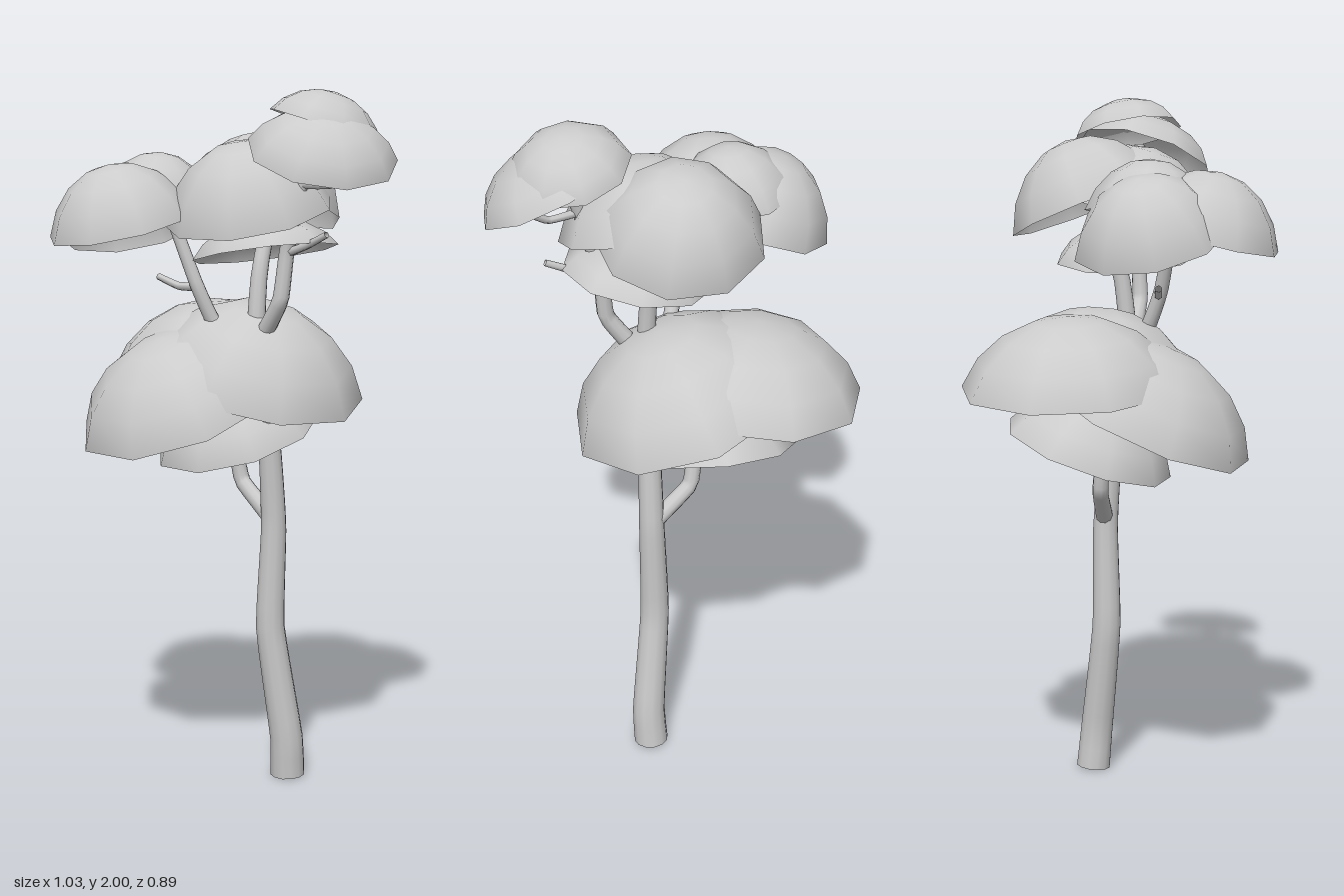
import * as THREE from 'three';

const material = new THREE.MeshStandardMaterial({ color: 0xcccccc, side: THREE.DoubleSide });
const UP = new THREE.Vector3(0, 1, 0);

// Open tapered limb that bends at a few points
function limb(name, points, r0, r1, sides = 10) {
  const curve = new THREE.CatmullRomCurve3(points.map((p) => new THREE.Vector3(...p)), false, 'catmullrom', 0.2);
  const steps = points.length * 4;
  const geo = new THREE.TubeGeometry(curve, steps, 1, sides, false);
  const pos = geo.attributes.position;
  const v = new THREE.Vector3();
  for (let i = 0; i <= steps; i++) {
    const c = curve.getPointAt(i / steps);
    const r = THREE.MathUtils.lerp(r0, r1, i / steps);
    for (let j = 0; j <= sides; j++) {
      const k = i * (sides + 1) + j;
      v.fromBufferAttribute(pos, k).sub(c).multiplyScalar(r).add(c);
      pos.setXYZ(k, v.x, v.y, v.z);
    }
  }
  const mesh = new THREE.Mesh(geo, material);
  mesh.name = name;
  return mesh;
}

// Hollow leaf dome: rim centre, rim radius, height, lean of its axis, spin
function leafDome(name, centre, radius, height, lean, spin) {
  const end = Math.PI * 0.38;
  const geo = new THREE.SphereGeometry(1, 9, 4, 0, Math.PI * 2, 0, end);
  geo.translate(0, -Math.cos(end), 0);
  geo.rotateY(spin);
  geo.scale(radius / Math.sin(end), height / (1 - Math.cos(end)), radius / Math.sin(end));
  const dome = new THREE.Mesh(geo, material);
  dome.name = name;
  dome.position.set(...centre);
  dome.quaternion.setFromUnitVectors(UP, new THREE.Vector3(...lean).normalize());
  return dome;
}

export function createModel() {
  const tree = new THREE.Group();
  tree.name = 'tree';

  // Trunk and branches
  tree.add(
    limb('trunk', [[0.09, 0, -0.165], [0.095, 0.12, -0.155], [0.067, 0.45, -0.115], [0.075, 0.75, -0.12],
      [0.077, 1.0, -0.1], [0.075, 1.3, -0.05], [0.068, 1.5, -0.07], [0.04, 1.8, -0.17]], 0.051, 0.018, 12),
    limb('lowBranch', [[0.07, 0.77, -0.12], [-0.04, 0.87, -0.1], [-0.055, 0.95, -0.09], [-0.09, 1.1, -0.07]], 0.026, 0.02),
    limb('rightBranch', [[0.08, 1.28, -0.05], [0.13, 1.34, -0.045], [0.185, 1.42, -0.045], [0.2, 1.56, -0.055],
      [0.25, 1.73, -0.06], [0.29, 1.86, -0.08]], 0.026, 0.017),
    limb('leftBranch', [[0.07, 1.2, -0.06], [-0.01, 1.34, 0.03], [-0.035, 1.46, 0.08], [-0.1, 1.7, 0.14]], 0.024, 0.017),
    limb('leftTwig', [[-0.03, 1.45, 0.07], [-0.1, 1.45, 0.09], [-0.17, 1.475, 0.11]], 0.013, 0.01, 6),
    limb('rightTwig', [[0.2, 1.55, -0.055], [0.28, 1.575, -0.06], [0.35, 1.605, -0.065]], 0.013, 0.009, 6),
    limb('topTwig', [[0.26, 1.74, -0.06], [0.34, 1.74, -0.09], [0.4, 1.78, -0.12]], 0.013, 0.009, 6),
    limb('lowTwig', [[-0.06, 0.98, -0.08], [-0.11, 1.0, -0.06], [-0.16, 1.04, -0.04]], 0.012, 0.008, 6)
  );

  // Lower canopy
  const lower = new THREE.Group();
  lower.name = 'lowerCanopy';
  lower.add(
    leafDome('frontDome', [-0.12, 1.11, 0.055], 0.325, 0.21, [0, 1, 0.47], -0.17),
    leafDome('rightDome', [-0.02, 1.17, -0.12], 0.33, 0.235, [0.32, 1, 0], -0.1),
    leafDome('leftDome', [-0.21, 1.2, -0.13], 0.315, 0.2, [-0.12, 1, 0], -0.05),
    leafDome('underDome', [-0.09, 1.0, -0.12], 0.25, 0.17, [0, 1, 0.36], -0.17)
  );

  // Upper canopy
  const upper = new THREE.Group();
  upper.name = 'upperCanopy';
  upper.add(
    leafDome('frontDome', [-0.17, 1.625, 0.24], 0.215, 0.175, [0, 1, 0.27], -0.03),
    leafDome('leftDome', [-0.28, 1.615, 0.12], 0.215, 0.18, [-0.42, 1, -0.1], 0.3),
    leafDome('innerDome', [-0.2, 1.685, 0.09], 0.175, 0.145, [0.12, 1, 0], 0.2),
    leafDome('backDome', [0, 1.69, -0.14], 0.235, 0.2, [0, 1, -0.4], 0.2),
    leafDome('middleDome', [0.065, 1.66, -0.03], 0.245, 0.205, [0.1, 1, 0.3], 0.1),
    leafDome('underDome', [0.1, 1.545, -0.06], 0.21, 0.1, [-0.18, 1, 0], 0.4),
    leafDome('rightDome', [0.325, 1.82, -0.07], 0.21, 0.125, [0.45, 1, 0.2], -0.05),
    leafDome('topDome', [0.285, 1.895, -0.115], 0.165, 0.1, [0.22, 1, -0.25], -0.1)
  );

  tree.add(lower, upper);
  return tree;
}
